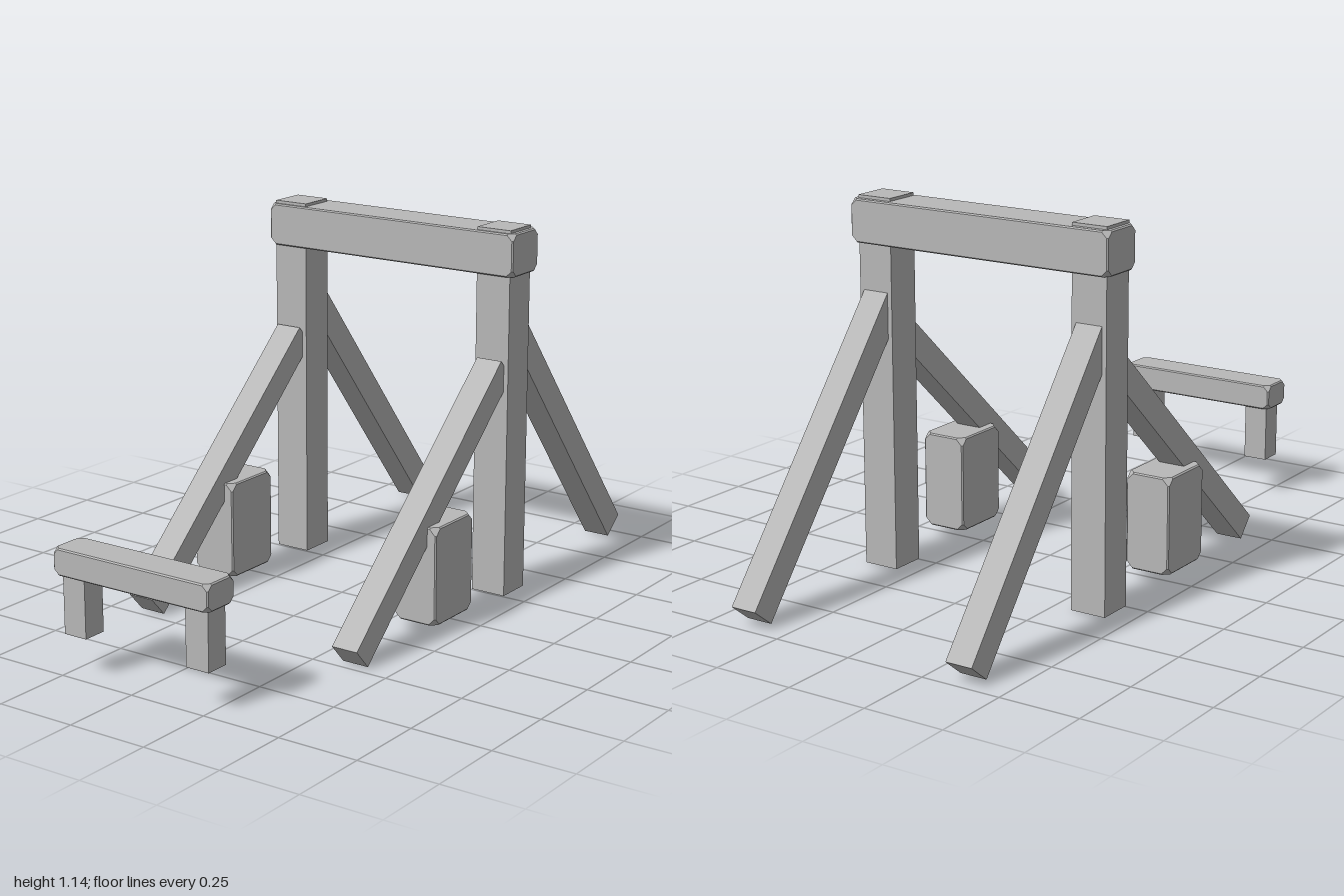
import * as THREE from 'three';
import { ConvexGeometry } from 'three/addons/geometries/ConvexGeometry.js';

// Block with clipped corners (c) and very fine edge bevels (e)
function clippedBlock(w, h, d, c = 0.02, e = 0.004) {
  const half = [w / 2, h / 2, d / 2];
  const points = [];
  for (const sx of [-1, 1]) for (const sy of [-1, 1]) for (const sz of [-1, 1]) {
    for (let axis = 0; axis < 3; axis++) {
      for (const [a, b] of [[c, e], [e, c]]) {
        const p = [...half];
        p[(axis + 1) % 3] -= a;
        p[(axis + 2) % 3] -= b;
        points.push(new THREE.Vector3(p[0] * sx, p[1] * sy, p[2] * sz));
      }
    }
  }
  return new ConvexGeometry(points);
}

export function createModel() {
  const model = new THREE.Group();
  model.name = 'timberFrameWithBench';
  const grey = new THREE.MeshStandardMaterial({ color: 0xb8b8b8 });
  grey.name = 'plainGrey';

  const add = (name, geometry, x, y, z) => {
    const mesh = new THREE.Mesh(geometry, grey);
    mesh.name = name;
    mesh.position.set(x, y, z);
    model.add(mesh);
    return mesh;
  };

  // Square beam between two points [y, z] in the side plane
  const brace = (name, x, [y0, z0], [y1, z1], thickness) => {
    const length = Math.hypot(y1 - y0, z1 - z0);
    const mesh = add(name, new THREE.BoxGeometry(0.085, length, thickness),
      x, (y0 + y1) / 2, (z0 + z1) / 2);
    mesh.rotation.x = Math.atan2(z1 - z0, y1 - y0);
  };

  // Crossbeam on top of the posts
  add('crossbeam', clippedBlock(0.884, 0.13, 0.146), 0, 1.065, -0.312);

  for (const [side, s] of [['left', 1], ['right', -1]]) {
    // Upright and its sloping supports
    add(side + 'Post', new THREE.BoxGeometry(0.114, 1.133, 0.115), s * 0.37, 0.5725, -0.308);
    brace(side + 'FrontBrace', s * 0.37, [0.034, 0.487], [0.716, -0.263], 0.082);
    brace(side + 'BackBrace', s * 0.37, [0.037, -0.965], [0.857, -0.31], 0.087);

    // Block beside the front brace
    add(side + 'Block', clippedBlock(0.145, 0.3, 0.2, 0.022), s * 0.37, 0.185, 0.059);

    // Bench leg
    add(side + 'BenchLeg', new THREE.BoxGeometry(0.077, 0.19, 0.075), s * 0.216, 0.215, 0.942);
  }

  // Bench seat
  add('benchSeat', clippedBlock(0.542, 0.08, 0.115, 0.018), 0, 0.337, 0.9425);

  return model;
}
